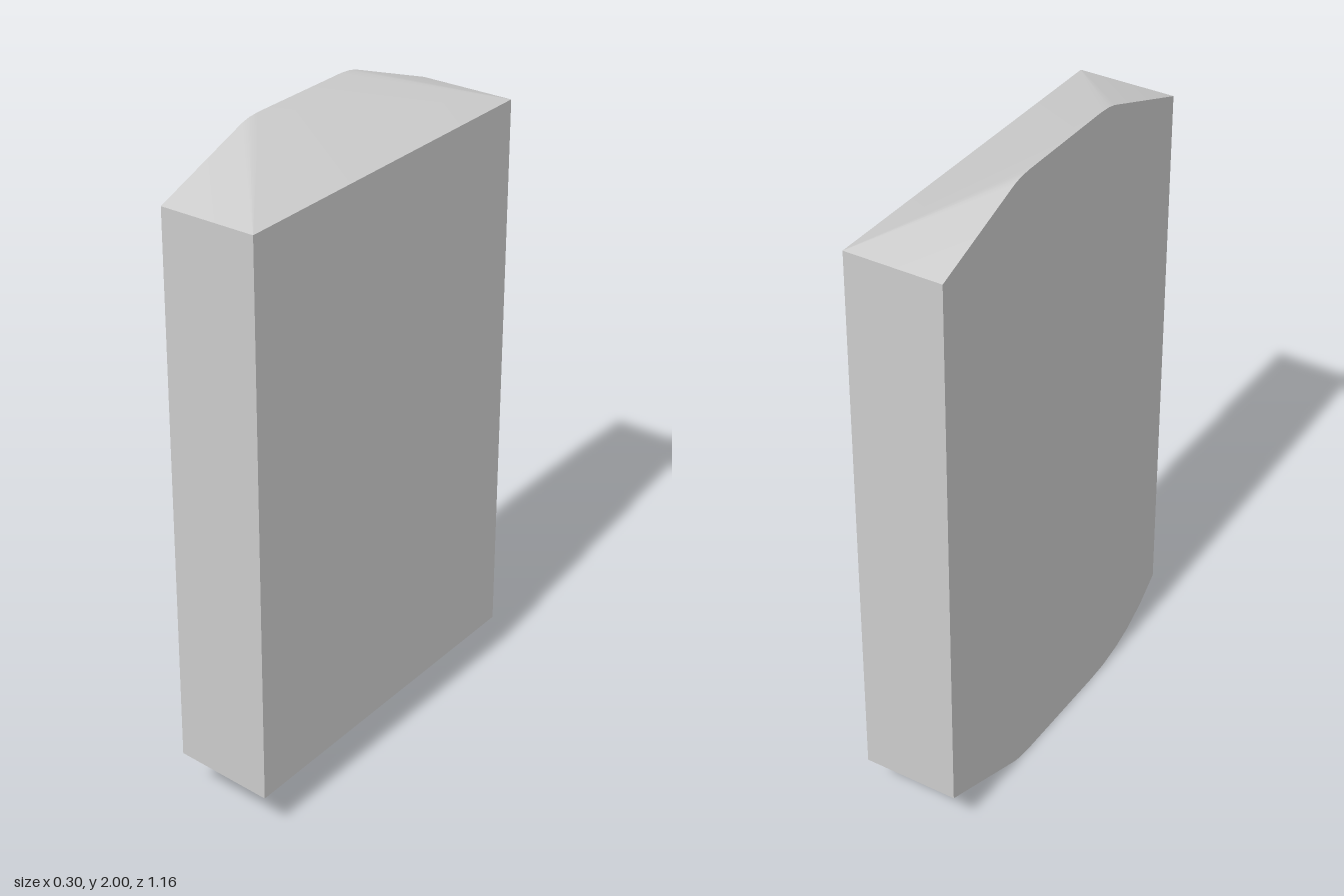
import * as THREE from 'three';
import { toCreasedNormals } from 'three/addons/utils/BufferGeometryUtils.js';
import { ConvexGeometry } from 'three/addons/geometries/ConvexGeometry.js';

export function createModel() {
  const group = new THREE.Group();
  const halfX = 0.15, halfZ = 0.58;

  // Rectangular face on the +x side
  const points = [];
  for (const z of [-halfZ, halfZ])
    for (const y of [0.13, 1.87]) points.push(new THREE.Vector3(halfX, y, z));

  // Taller -x face: chamfered corners eased into the flat ends, as [z, y]
  const chamfer = [[0.58, 0.13], [0.25, 0.01], [0.22, 0.003], [0.18, 0]];
  // The lower front corner is a fuller curve
  const curve = [[0.58, 0.155], [0.5, 0.09], [0.42, 0.045], [0.35, 0.02], [0.27, 0.004], [0.2, 0]];
  const outline = [
    ...chamfer.map(([z, y]) => [z, 2 - y]),
    ...chamfer.map(([z, y]) => [-z, 2 - y]),
    ...chamfer.map(([z, y]) => [-z, y]),
    ...curve,
  ];
  for (const [z, y] of outline) points.push(new THREE.Vector3(-halfX, y, z));

  // Solid block spanning the two faces
  const block = new THREE.Mesh(
    toCreasedNormals(new ConvexGeometry(points), 0.25),
    new THREE.MeshStandardMaterial({ color: 0xcccccc })
  );
  block.name = 'chamferedBlock';
  group.add(block);
  return group;
}
